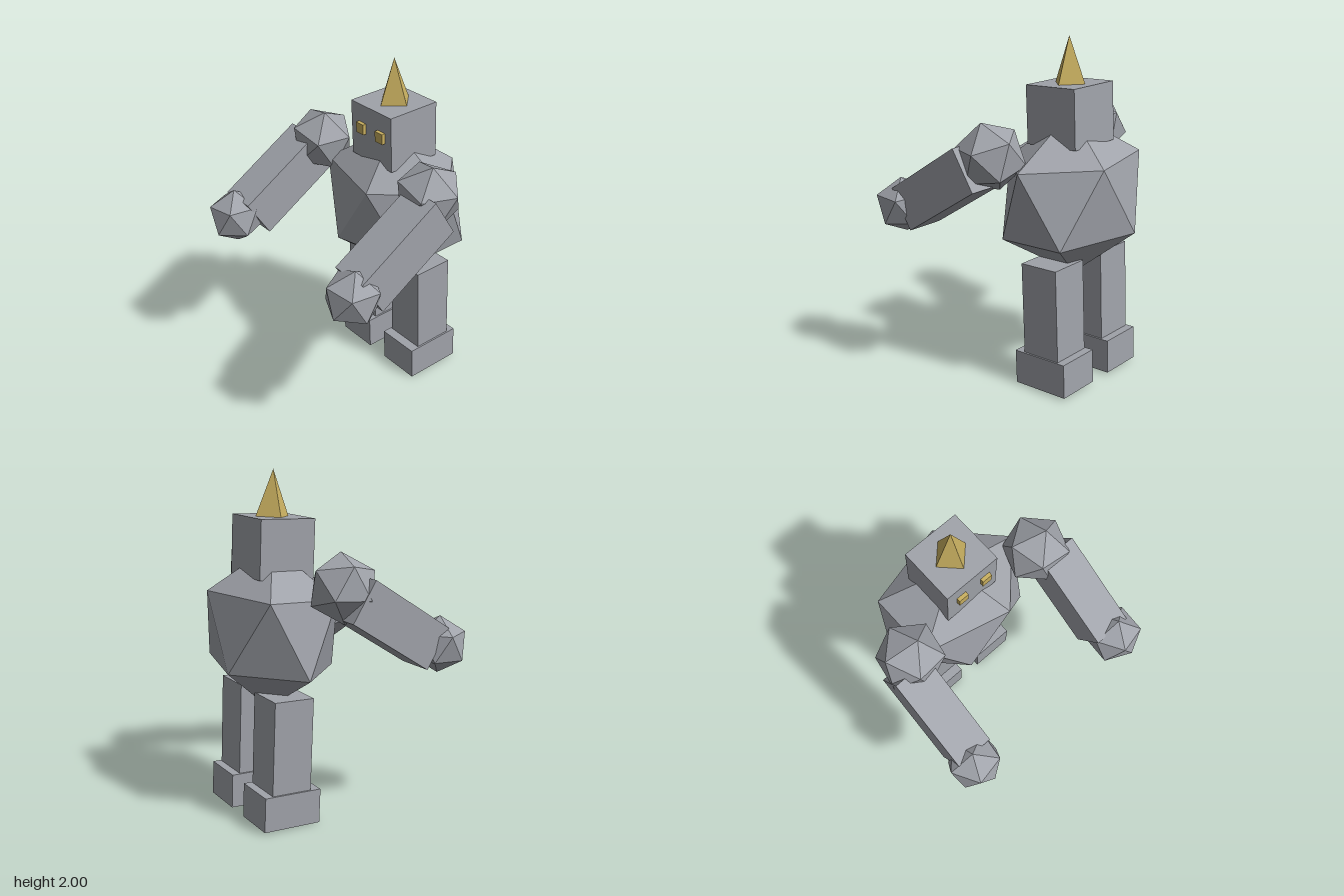
import * as THREE from 'three';
import { ConvexGeometry } from 'three/addons/geometries/ConvexGeometry.js';

const TILT = 0.04; // the whole figure leans slightly forward
const MID = -0.017; // centre line of the torso

// Icosahedron standing on a corner: two poles and two rings of five
function icoGeometry() {
  const points = [new THREE.Vector3(0, 1, 0), new THREE.Vector3(0, -1, 0)];
  for (let i = 0; i < 5; i++) {
    const a = (i * 2 * Math.PI) / 5;
    const b = a + Math.PI / 5;
    const r = 2 / Math.sqrt(5);
    const h = 1 / Math.sqrt(5);
    points.push(new THREE.Vector3(r * Math.cos(a), h, r * Math.sin(a)));
    points.push(new THREE.Vector3(r * Math.cos(b), -h, r * Math.sin(b)));
  }
  return new ConvexGeometry(points);
}

export function createModel() {
  const model = new THREE.Group();
  model.name = 'golem';

  const stone = new THREE.MeshStandardMaterial({ color: 0xa0a3aa, flatShading: true });
  stone.name = 'stoneGrey';
  const gold = new THREE.MeshStandardMaterial({ color: 0xc9b060, flatShading: true });
  gold.name = 'gold';

  const add = (name, geometry, material, position, tilt = TILT) => {
    const mesh = new THREE.Mesh(geometry, material);
    mesh.name = name;
    mesh.position.set(...position);
    mesh.rotation.x = tilt;
    model.add(mesh);
    return mesh;
  };
  const box = (name, size, position, material = stone, tilt = TILT) =>
    add(name, new THREE.BoxGeometry(...size), material, position, tilt);

  // Faceted ball turned so that its pole and first ring corner face given ways
  const ball = (name, radius, position, pole, corner) => {
    const y = new THREE.Vector3(...pole).normalize();
    const x = new THREE.Vector3(...corner);
    x.addScaledVector(y, -x.dot(y)).normalize();
    const z = new THREE.Vector3().crossVectors(x, y);
    const mesh = add(name, icoGeometry(), stone, position);
    mesh.quaternion.setFromRotationMatrix(new THREE.Matrix4().makeBasis(x, y, z));
    mesh.scale.setScalar(radius);
  };

  // Torso
  add('torso', icoGeometry(), stone, [MID, 1.1, -0.3]).scale.set(0.52, 0.475, 0.394);

  // Head, eyes and horn
  box('head', [0.352, 0.335, 0.338], [MID, 1.572, -0.28]);
  for (const [name, side] of [['rightEye', -1], ['leftEye', 1]]) {
    box(name, [0.063, 0.063, 0.04], [-0.011 + side * 0.084, 1.592, -0.108], gold);
  }
  add('horn', new THREE.ConeGeometry(0.106, 0.265, 4), gold, [-0.014, 1.868, -0.275]);

  // Legs and feet
  for (const [name, side] of [['right', -1], ['left', 1]]) {
    const x = -0.016 + side * 0.208;
    box(name + 'Leg', [0.248, 0.575, 0.245], [x, 0.465, -0.34]);
    box(name + 'Foot', [0.27, 0.203, 0.355], [x, 0.108, -0.35]);
  }

  // Arms reach forward and down between shoulder and fist
  box('rightArm', [0.23, 0.265, 0.587], [-0.545, 1.178, 0.168], stone, 0.567);
  box('leftArm', [0.23, 0.265, 0.587], [0.533, 1.178, 0.168], stone, 0.567);
  ball('rightShoulder', 0.2, [-0.483, 1.385, -0.105], [0.055, 0.19, 0.02], [0, 0.1, -0.178]);
  ball('leftShoulder', 0.2, [0.47, 1.385, -0.118], [0.049, 0.19, 0.021], [0.036, 0.11, -0.178]);
  ball('rightFist', 0.168, [-0.56, 1.019, 0.495], [-0.006, 0.165, 0], [0.155, 0.06, -0.085]);
  ball('leftFist', 0.168, [0.562, 1.02, 0.482], [0.02, 0.167, -0.002], [0.15, 0.05, -0.085]);

  return model;
}
